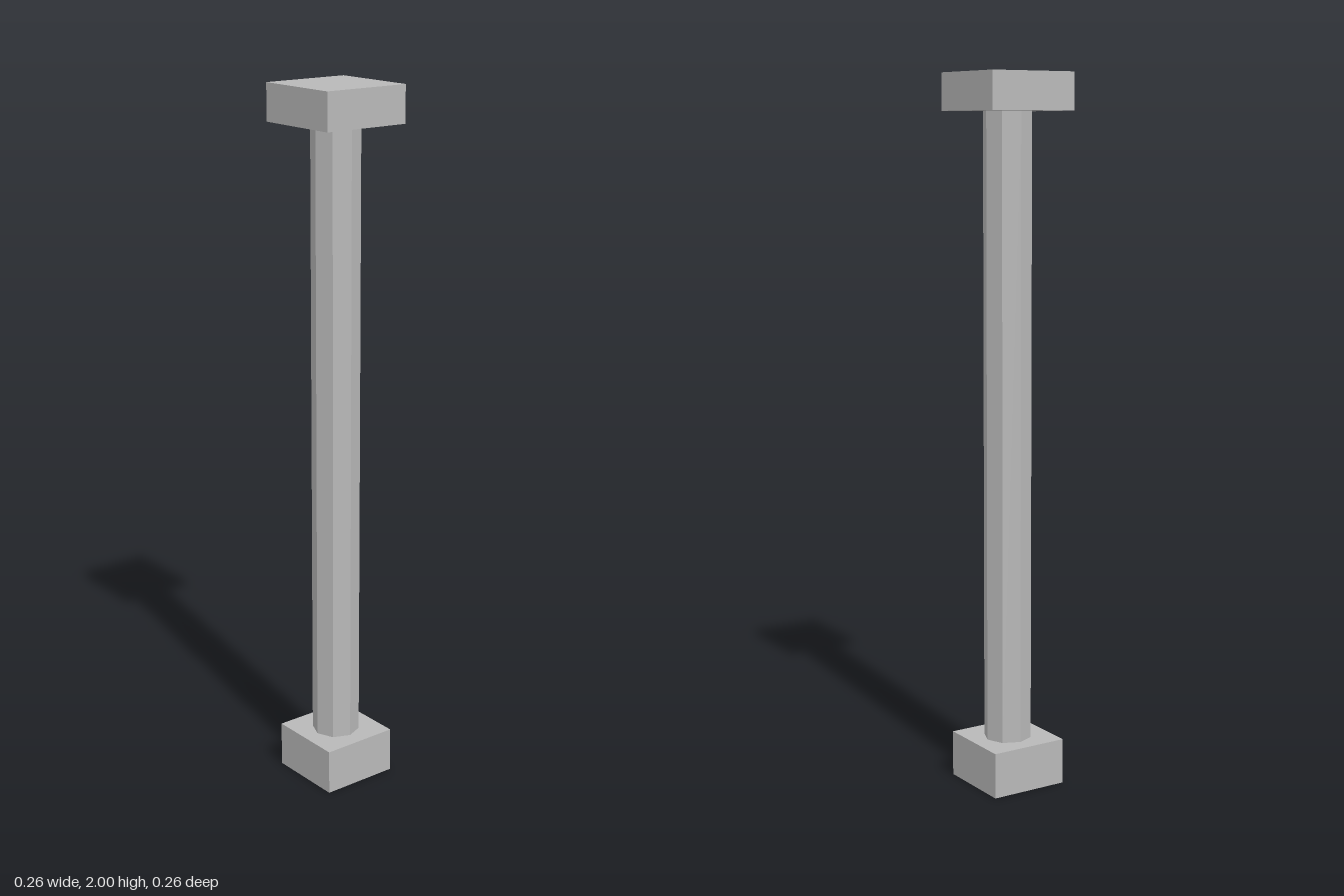
import * as THREE from 'three';

export function createModel() {
  const stone = new THREE.MeshStandardMaterial({ color: 0xb8b8b8, flatShading: true });
  stone.name = 'grey stone';
  const model = new THREE.Group();
  model.name = 'column';

  const baseTop = 0.13, capBottom = 1.897, top = 2;

  // Adds a part whose geometry is centred, spanning the heights y0 to y1
  const add = (name, geometry, y0, y1) => {
    const mesh = new THREE.Mesh(geometry, stone);
    mesh.name = name;
    mesh.position.y = (y0 + y1) / 2;
    model.add(mesh);
  };

  // Square base block
  add('base', new THREE.BoxGeometry(0.228, baseTop, 0.228), 0, baseTop);

  // Octagonal shaft with a corner facing the front
  add('shaft', new THREE.CylinderGeometry(0.068, 0.068, capBottom - baseTop, 8), baseTop, capBottom);

  // Wider square cap
  add('cap', new THREE.BoxGeometry(0.26, top - capBottom, 0.26), capBottom, top);

  return model;
}
